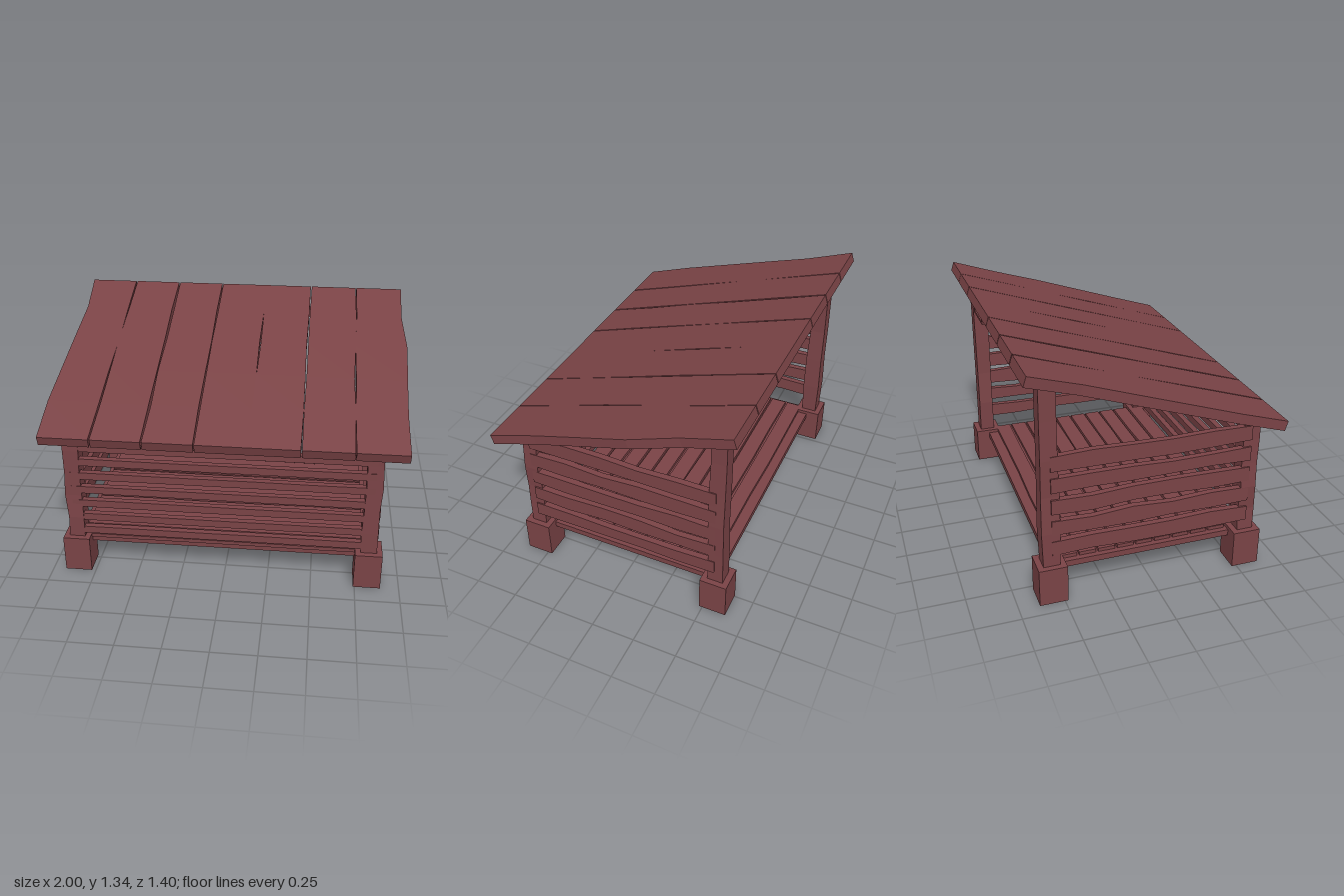
import * as THREE from 'three';

const wood = new THREE.MeshStandardMaterial({ color: 0x7a4346, flatShading: true });

// Small seeded generator, returns -1..1
let seed = 7;
function rand() {
  seed = (seed * 16807) % 2147483647;
  return (seed / 2147483647) * 2 - 1;
}

// Rough-sawn board: length on x, width on y, thickness on z.
// The inner cross-sections shift their upper and lower edges a little.
const SEG = 5;
function boardGeometry(length, width, thick, wobble = 0, upper, lower, depthWobble = 0) {
  const g = new THREE.BoxGeometry(length, width, thick, SEG, 1, 1);
  const inner = (given, amp) => Array.from({ length: SEG + 1 }, (_, i) =>
    i === 0 || i === SEG ? 0 : given ? given[i - 1] : rand() * amp);
  const up = inner(upper, wobble);
  const low = inner(lower, wobble);
  const back = inner(null, depthWobble);
  const front = inner(null, depthWobble);
  const p = g.attributes.position;
  for (let k = 0; k < p.count; k++) {
    const i = Math.round((p.getX(k) / length + 0.5) * SEG);
    const y = p.getY(k), z = p.getZ(k);
    p.setY(k, y > 0 ? y + up[i] : y - low[i]);
    p.setZ(k, z > 0 ? z + front[i] : z - back[i]);
  }
  g.computeVertexNormals();
  return g;
}

function add(parent, name, geometry, x, y, z) {
  const m = new THREE.Mesh(geometry, wood);
  m.name = name;
  m.position.set(x, y, z);
  parent.add(m);
  return m;
}

function group(parent, name) {
  const g = new THREE.Group();
  g.name = name;
  parent.add(g);
  return g;
}

export function createModel() {
  seed = 7;
  const model = new THREE.Group();
  model.name = 'shelter';
  const cx = -0.016;   // frame centre
  const hx = 0.834;    // half spacing of the posts

  // Foot blocks and posts; the rear pair is taller
  const frame = group(model, 'frame');
  for (const s of [-1, 1]) {
    for (const [z, top, label] of [[0.552, 0.915, 'front'], [-0.559, 1.265, 'back']]) {
      const x = cx + s * hx;
      add(frame, label + 'FootBlock', new THREE.BoxGeometry(0.153, 0.215, 0.156), x, 0.1075, z);
      const h = top - 0.2;
      const g = boardGeometry(h, 0.09, 0.09, 0.007, null, null, 0.007).rotateZ(Math.PI / 2);
      add(frame, label + 'Post', g, x, 0.2 + h / 2, z);
    }
  }
  add(frame, 'backBeam', new THREE.BoxGeometry(2 * hx, 0.05, 0.05), cx, 1.22, -0.555);

  // Floor slab with planks laid across it
  const floor = group(model, 'floor');
  add(floor, 'floorSlab', new THREE.BoxGeometry(2 * hx, 0.035, 1.11), cx, 0.1775, 0);
  for (let i = 0; i < 10; i++) {
    const g = boardGeometry(2 * hx - 0.06, 0.094, 0.022, 0.004).rotateX(-Math.PI / 2);
    add(floor, 'floorPlank', g, cx, 0.204, 0.52 - i * 0.1076);
  }

  // Front wall: narrow slats
  const frontWall = group(model, 'frontWall');
  for (let i = 0; i < 7; i++) {
    add(frontWall, 'frontSlat', boardGeometry(2 * hx + 0.02, 0.043, 0.035, 0.001),
      cx, 0.26 + i * 0.0885, 0.579);
  }

  // Side walls: wide wavy slats on the outer faces of the posts
  for (const s of [-1, 1]) {
    const wall = group(model, s > 0 ? 'leftWall' : 'rightWall');
    for (let i = 0; i < 5; i++) {
      const g = boardGeometry(1.105, 0.083, 0.035, 0.01).rotateY(Math.PI / 2);
      add(wall, 'sideSlat', g, cx + s * (hx + 0.033), 0.322 + i * 0.1237, -0.002);
    }
  }

  // Sloping roof of seven planks with uneven edges
  const roof = group(model, 'roof');
  roof.position.set(0, 1.097, 0.004);
  roof.rotation.x = 0.309;
  const planks = [[-0.99, -0.711], [-0.703, -0.43], [-0.423, -0.149], [-0.143, 0.14],
    [0.14, 0.418], [0.425, 0.7], [0.706, 0.985]];
  const leftEdge = [0.01, 0, -0.01, -0.022];
  const rightEdge = [-0.003, 0.005, 0.015, -0.008];
  const crack = [0, 0, -0.004, 0];
  planks.forEach(([a, b], i) => {
    const low = i === 6 ? rightEdge : i === 3 ? crack : null;
    const up = i === 0 ? leftEdge : i === 4 ? crack : null;
    const g = boardGeometry(1.449, b - a, 0.056, 0.006, up, low)
      .rotateZ(Math.PI / 2).rotateX(-Math.PI / 2);
    add(roof, 'roofPlank', g, (a + b) / 2, 0, 0);
  });

  // Small framed board hanging from the back beam
  const sign = group(model, 'hangingBoard');
  sign.position.set(0.605, 1.135, -0.59);
  add(sign, 'boardPanel', new THREE.BoxGeometry(0.24, 0.1, 0.014), 0, 0, 0);
  for (const s of [-1, 1]) {
    add(sign, 'boardFrameRail', new THREE.BoxGeometry(0.26, 0.016, 0.032), 0, s * 0.049, 0);
    add(sign, 'boardFrameStile', new THREE.BoxGeometry(0.016, 0.114, 0.032), s * 0.122, 0, 0);
    add(sign, 'boardHanger', new THREE.BoxGeometry(0.012, 0.08, 0.012), s * 0.09, 0.085, 0.005);
  }

  return model;
}
